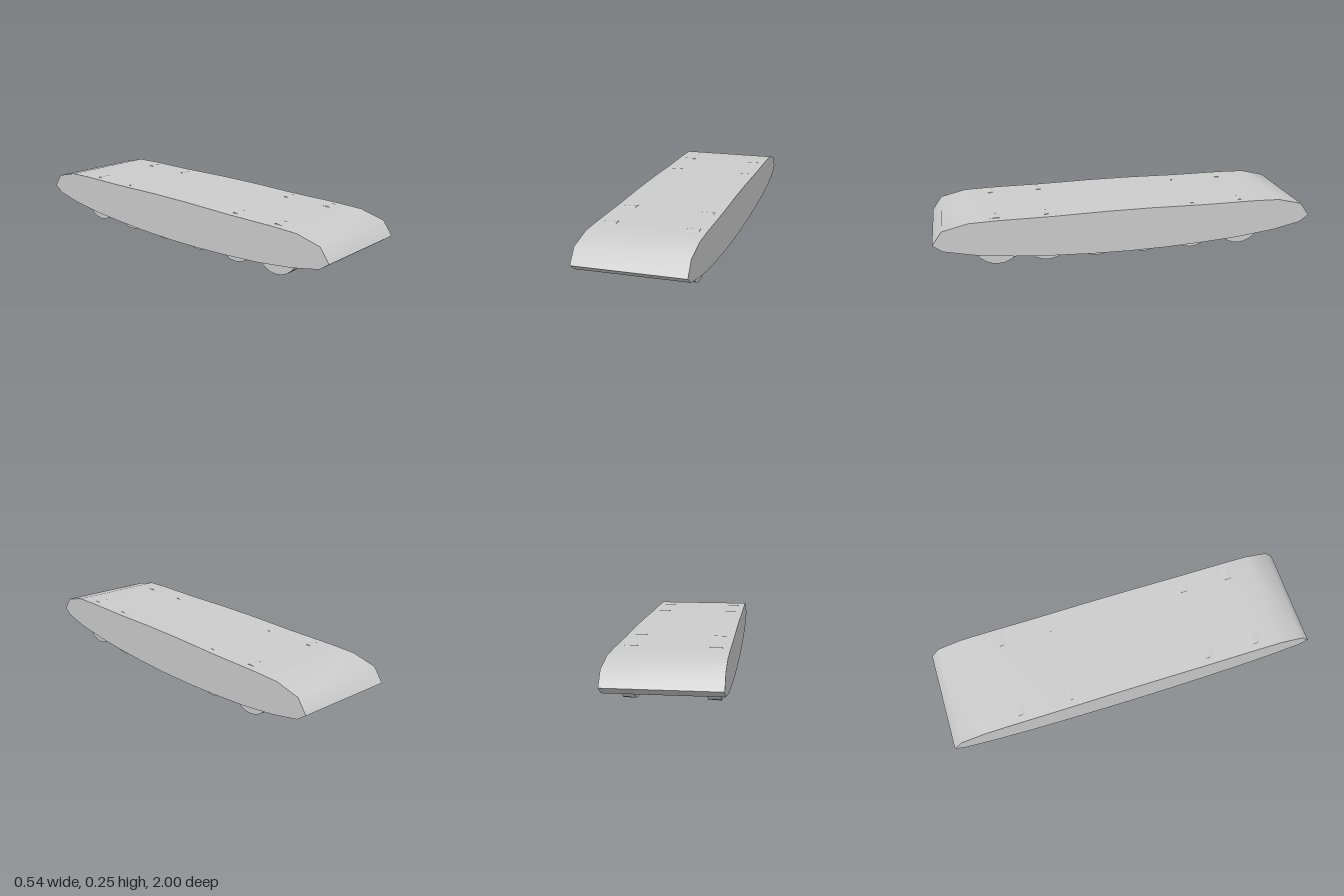
import * as THREE from 'three';
import { toCreasedNormals } from 'three/addons/utils/BufferGeometryUtils.js';

export function createModel() {
  const model = new THREE.Group();
  model.name = 'trackUnit';
  const material = new THREE.MeshStandardMaterial({ color: 0xcccccc });

  // Track belt: half side profile (z, y), mirrored front to back, extruded across x
  const width = 0.54;
  const half = [
    [0, 0.023], [0.2, 0.026], [0.4, 0.035], [0.6, 0.049], [0.8, 0.074], [0.95, 0.106],
    [1, 0.142],
    [0.95, 0.212], [0.82, 0.244], [0.68, 0.248], [0.4, 0.248], [0.12, 0.253],
  ];
  const back = half.slice(1).reverse().map(([z, y]) => [-z, y]);
  const profile = new THREE.Shape([...half, ...back].map(([z, y]) => new THREE.Vector2(z, y)));
  const beltGeometry = new THREE.ExtrudeGeometry(profile, { depth: width, bevelEnabled: false });
  beltGeometry.rotateY(-Math.PI / 2).translate(width / 2, 0, 0);
  const belt = new THREE.Mesh(toCreasedNormals(beltGeometry, Math.PI / 4), material);
  belt.name = 'trackBelt';
  model.add(belt);

  // Road wheels: two rows of six, just breaking through the belt
  const radius = 0.1255;
  const wheelGeometry = new THREE.CylinderGeometry(radius, radius, 0.062, 24);
  wheelGeometry.rotateZ(Math.PI / 2);
  for (const [side, x] of [['left', 0.201], ['right', -0.201]]) {
    [0.68, 0.425, 0.168, -0.088, -0.343, -0.615].forEach((z, i) => {
      const wheel = new THREE.Mesh(wheelGeometry, material);
      wheel.name = `${side}RoadWheel${i + 1}`;
      wheel.position.set(x, radius, z);
      model.add(wheel);
    });
  }
  return model;
}
